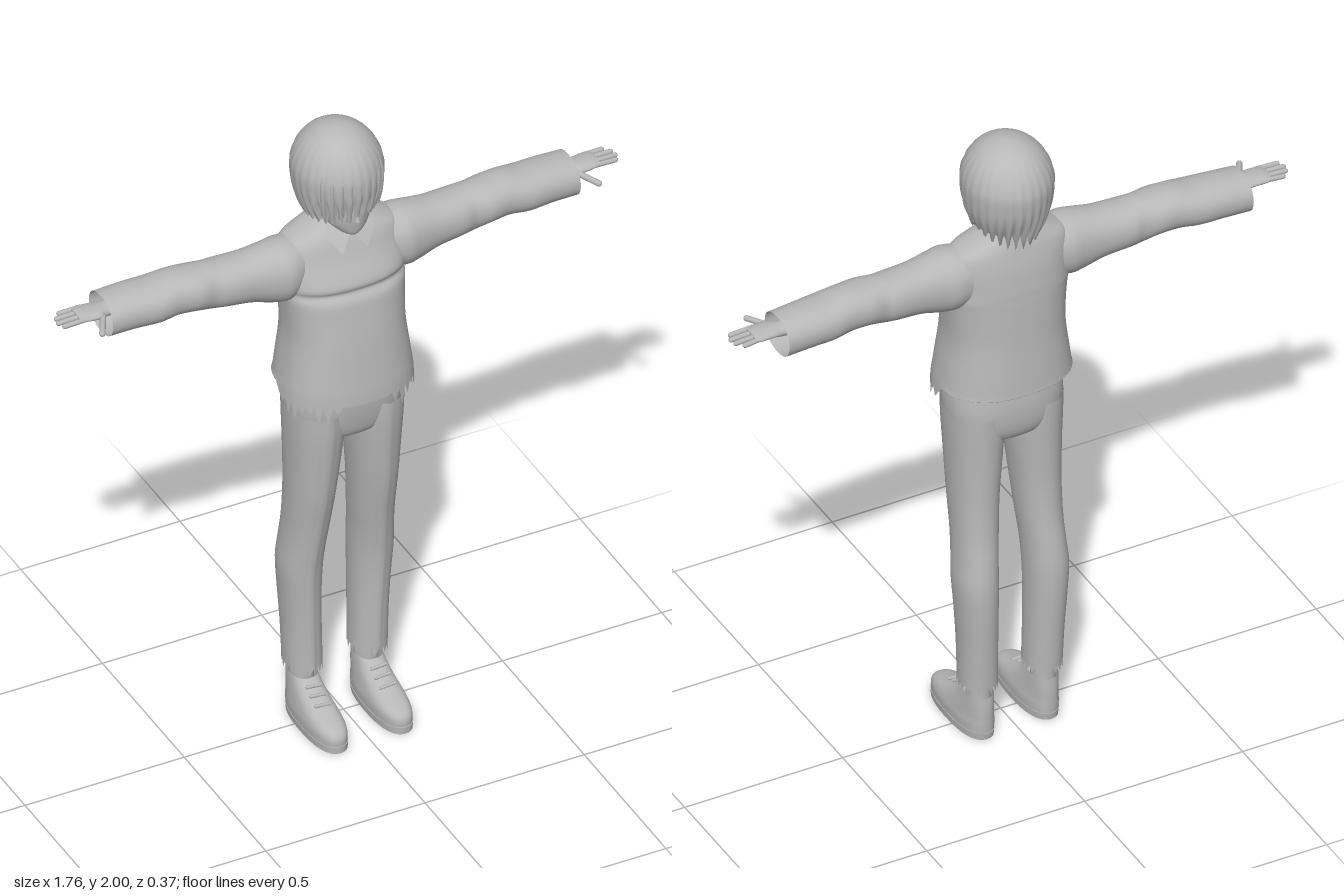
import * as THREE from 'three';

const grey = new THREE.MeshStandardMaterial({ color: 0xb8b8b8, side: THREE.DoubleSide });
grey.name = 'plain grey';

// Catmull-Rom refinement of a list of cross-sections
function refine(rows, steps) {
  const out = [];
  for (let i = 0; i < rows.length - 1; i++) {
    const [a, b, c, d] = [rows[Math.max(i - 1, 0)], rows[i], rows[i + 1], rows[Math.min(i + 2, rows.length - 1)]];
    for (let s = 0; s < steps; s++) {
      const t = s / steps;
      out.push(b.map((v, k) => v + 0.5 * t * (c[k] - a[k] + t * (2 * a[k] - 5 * v + 4 * c[k] - d[k]
        + t * (3 * (v - c[k]) + d[k] - a[k])))));
    }
  }
  out.push(rows[rows.length - 1]);
  return out;
}

// Skin through superellipse rings [y, halfWidth, zFront, zBack, xCentre], listed upwards
function loft(rows, { n = 2, seg = 32, steps = 4, warp, caps = '' } = {}) {
  const rings = refine(rows, steps), pos = [], idx = [];
  const pw = v => Math.sign(v) * Math.abs(v) ** (2 / n);
  rings.forEach(([y, w, zf, zb, xc], i) => {
    for (let j = 0; j < seg; j++) {
      const a = j / seg * Math.PI * 2;
      const p = new THREE.Vector3(xc + w * pw(Math.cos(a)), y, (zf + zb) / 2 + (zf - zb) / 2 * pw(Math.sin(a)));
      if (warp) warp(p, a, i, j);
      pos.push(p.x, p.y, p.z);
    }
  });
  for (let i = 0; i < rings.length - 1; i++) for (let j = 0; j < seg; j++) {
    const a = i * seg + j, c = i * seg + (j + 1) % seg;
    idx.push(a, a + seg, c, c, a + seg, c + seg);
  }
  // flat end caps with their own vertices
  const cap = (r, up) => {
    const base = pos.length / 3, [y, , zf, zb, xc] = rings[r];
    pos.push(...pos.slice(r * seg * 3, (r + 1) * seg * 3), xc, y, (zf + zb) / 2);
    for (let j = 0; j < seg; j++) {
      const a = base + j, b = base + (j + 1) % seg;
      idx.push(base + seg, up ? b : a, up ? a : b);
    }
  };
  if (caps.includes('b')) cap(0, false);
  if (caps.includes('t')) cap(rings.length - 1, true);
  const g = new THREE.BufferGeometry();
  g.setAttribute('position', new THREE.Float32BufferAttribute(pos, 3));
  g.setIndex(idx);
  g.computeVertexNormals();
  return g;
}

// Loft running out along +x: rows are [x, yCentre, halfHeight, zFront, zBack]
function armLoft(rows, opt) {
  return loft(rows.map(([x, y, h, zf, zb]) => [x, h, zf, zb, -y]), opt).rotateZ(-Math.PI / 2)
    .applyMatrix4(new THREE.Matrix4());
}

// Rounded rod between two points
function rod(from, to, r) {
  const a = new THREE.Vector3(...from), b = new THREE.Vector3(...to), d = b.clone().sub(a);
  const g = new THREE.CapsuleGeometry(r, d.length(), 4, 10);
  g.applyQuaternion(new THREE.Quaternion().setFromUnitVectors(new THREE.Vector3(0, 1, 0), d.normalize()));
  return g.translate((a.x + b.x) / 2, (a.y + b.y) / 2, (a.z + b.z) / 2);
}

function mirrored(geo) {
  const g = geo.clone(), ix = g.index.array;
  const p = g.attributes.position, nn = g.attributes.normal;
  for (let i = 0; i < p.count; i++) { p.setX(i, -p.getX(i)); nn.setX(i, -nn.getX(i)); }
  for (let i = 0; i < ix.length; i += 3) [ix[i], ix[i + 1]] = [ix[i + 1], ix[i]];
  return g;
}

export function createModel() {
  const model = new THREE.Group();
  const add = (name, geo) => {
    const m = new THREE.Mesh(geo, grey);
    m.name = name;
    model.add(m);
  };
  const pair = (name, geo) => { add(name + 'Left', geo); add(name + 'Right', mirrored(geo)); };

  // Shirt body with a torn front hem and a chest fold
  add('shirtBody', loft([
    [1.175, 0.2, 0.155, -0.165, 0], [1.25, 0.19, 0.147, -0.16, 0], [1.35, 0.178, 0.135, -0.152, 0],
    [1.43, 0.18, 0.122, -0.148, 0], [1.485, 0.185, 0.112, -0.145, 0], [1.51, 0.187, 0.095, -0.143, 0],
    [1.535, 0.188, 0.1, -0.141, 0], [1.6, 0.188, 0.068, -0.132, 0], [1.65, 0.178, 0.048, -0.12, 0],
    [1.678, 0.13, 0.034, -0.112, 0], [1.7, 0.085, 0.018, -0.105, 0], [1.72, 0.06, 0.008, -0.1, 0],
  ], {
    n: 2.4, seg: 80,
    warp: (p, a, i, j) => {
      if (i) return;
      const s = Math.sin(a);
      if (s < 0) p.y = 1.19;
      else if (Math.abs(p.x) < 0.07) p.y = 1.16;
      else p.y = j % 2 ? 1.125 + 0.02 * Math.sin(j * 2.3) : 1.165;
    },
  }));

  // Collar band and pointed flaps
  add('collarBand', loft([[1.69, 0.066, 0.022, -0.103, 0], [1.735, 0.052, 0.0, -0.096, 0]], { steps: 1 }));
  const flap = new THREE.BufferGeometry();
  flap.setAttribute('position', new THREE.Float32BufferAttribute([
    0.004, 1.68, 0.05, 0.04, 1.635, 0.075, 0.075, 1.68, 0.04, 0.05, 1.72, 0.0], 3));
  flap.setIndex([0, 1, 2, 0, 2, 3]);
  flap.computeVertexNormals();
  pair('collarFlap', flap);

  // Loose sleeves, open at the cuff
  pair('sleeve', armLoft([
    [0.12, 1.58, 0.078, 0.035, -0.105], [0.18, 1.572, 0.094, 0.058, -0.112], [0.23, 1.572, 0.09, 0.05, -0.105],
    [0.29, 1.576, 0.077, 0.04, -0.103], [0.37, 1.58, 0.07, 0.036, -0.108], [0.41, 1.583, 0.07, 0.028, -0.103],
    [0.46, 1.59, 0.064, 0.036, -0.112], [0.52, 1.592, 0.064, 0.029, -0.114], [0.58, 1.585, 0.063, 0.033, -0.122],
    [0.65, 1.584, 0.062, 0.026, -0.124], [0.735, 1.58, 0.06, 0.022, -0.126],
  ], { n: 2.2, seg: 36 }));

  // Hands
  pair('hand', armLoft([
    [0.6, 1.593, 0.028, -0.02, -0.085], [0.72, 1.596, 0.02, -0.022, -0.08], [0.755, 1.6, 0.016, -0.008, -0.084],
    [0.8, 1.602, 0.013, -0.01, -0.088], [0.817, 1.603, 0.008, -0.013, -0.085],
  ], { seg: 20, caps: 't' }));
  [[-0.019, 0.865], [-0.04, 0.874], [-0.061, 0.87], [-0.081, 0.852]].forEach(([z, tip], i) =>
    pair('finger' + (i + 1), rod([0.795, 1.603, z * 0.96], [tip, 1.6, z], 0.0075)));
  pair('thumb', rod([0.745, 1.594, -0.02], [0.78, 1.588, 0.045], 0.009));

  // Trousers: seat and two tapering legs with torn hems
  add('trouserSeat', loft([
    [0.99, 0.06, 0.05, -0.07, 0], [1.01, 0.12, 0.085, -0.105, 0], [1.05, 0.165, 0.1, -0.122, 0],
    [1.12, 0.176, 0.11, -0.126, 0], [1.21, 0.17, 0.112, -0.115, 0],
  ], { n: 2.5, seg: 40, caps: 'bt' }));
  pair('trouserLeg', loft([
    [0.17, 0.054, 0.012, -0.12, 0.102], [0.3, 0.054, 0.014, -0.128, 0.105], [0.42, 0.057, 0.018, -0.136, 0.109],
    [0.52, 0.061, 0.026, -0.138, 0.111], [0.6, 0.06, 0.038, -0.13, 0.107], [0.68, 0.062, 0.052, -0.119, 0.102],
    [0.8, 0.067, 0.076, -0.112, 0.098], [0.93, 0.075, 0.093, -0.114, 0.094], [1.03, 0.081, 0.104, -0.118, 0.092],
    [1.1, 0.083, 0.107, -0.12, 0.092],
  ], {
    n: 2.15, seg: 40,
    warp: (p, a, i, j) => {
      // pressed crease down the front
      if (j === 10) p.z += 0.006;
      if (!i) p.y += j % 2 ? -0.012 : 0.012;
    },
  }));

  // Ankles and shoes
  pair('ankle', loft([[0.09, 0.034, -0.02, -0.1, 0.102], [0.24, 0.036, -0.02, -0.1, 0.102]], { steps: 1, seg: 20 }));
  pair('shoeSole', loft([[0, 0.053, 0.183, -0.112, 0.102], [0.022, 0.055, 0.184, -0.115, 0.102]],
    { n: 2.4, seg: 40, steps: 1, caps: 'bt' }));
  pair('shoeUpper', loft([
    [0.015, 0.053, 0.181, -0.113, 0.102], [0.045, 0.054, 0.18, -0.114, 0.102], [0.065, 0.051, 0.158, -0.114, 0.102],
    [0.085, 0.047, 0.1, -0.114, 0.102], [0.11, 0.043, 0.04, -0.113, 0.102], [0.14, 0.039, -0.002, -0.111, 0.102],
  ], { n: 2.4, seg: 40 }));
  [[0.094, 0.074], [0.108, 0.043], [0.124, 0.019]].forEach(([y, z], i) =>
    pair('shoelace' + (i + 1), rod([0.08, y, z], [0.124, y + 0.004, z], 0.005)));

  // Neck, head and nose
  add('neck', loft([[1.62, 0.05, 0.0, -0.095, 0], [1.78, 0.045, 0.005, -0.09, 0]], { steps: 1, seg: 24 }));
  add('head', loft([
    [1.688, 0.012, 0.07, 0.035, 0], [1.697, 0.032, 0.077, 0.01, 0], [1.72, 0.06, 0.082, -0.05, 0],
    [1.75, 0.08, 0.085, -0.11, 0], [1.8, 0.095, 0.084, -0.145, 0], [1.87, 0.103, 0.082, -0.155, 0],
    [1.93, 0.085, 0.055, -0.135, 0], [1.965, 0.05, 0.015, -0.09, 0],
  ], { caps: 'bt' }));
  add('nose', new THREE.ConeGeometry(0.01, 0.035, 8).translate(0, 1.762, 0.087));

  // Bobbed hair with grooved locks and a ragged lower edge
  const hairRows = [[1.7, 0.1, 0.088, -0.135, 0], [1.75, 0.117, 0.094, -0.158, 0], [1.8, 0.126, 0.1, -0.174, 0]];
  for (let i = 0; i <= 7; i++) {
    const t = i / 7 * 1.5, c = Math.cos(t);
    hairRows.push([1.86 + 0.14 * Math.sin(t), 0.13 * c, -0.04 + 0.141 * c, -0.04 - 0.141 * c, 0]);
  }
  add('hair', loft(hairRows, {
    seg: 112, steps: 3, caps: 't',
    warp: (p, a, i, j) => {
      const lock = Math.cos(j / 4 * Math.PI * 2), s = Math.sin(a);
      if (p.y < 1.86) {
        const edge = 1.735 + 0.033 * s - 0.016 * lock + 0.012 * Math.sin(j * 1.7);
        p.y = edge + (p.y - 1.7) / 0.16 * (1.86 - edge);
      }
      const k = 1 + 0.012 * lock * Math.min(1, (2 - p.y) * 8);
      p.x *= k;
      p.z = -0.04 + (p.z + 0.04) * k;
    },
  }));
  // Fringe locks lying over the forehead
  for (let i = -4; i <= 4; i++) {
    const a = i * 0.2, x = Math.sin(a), z = Math.cos(a);
    const path = new THREE.CatmullRomCurve3([[1.95, 0.095], [1.88, 0.132], [1.81, 0.131], [1.758 + 0.012 * (i % 2), 0.12]]
      .map(([y, r]) => new THREE.Vector3(x * r * 0.95, y, -0.04 + z * r)));
    add('fringeLock', new THREE.TubeGeometry(path, 10, 0.009, 6));
  }
  return model;
}
